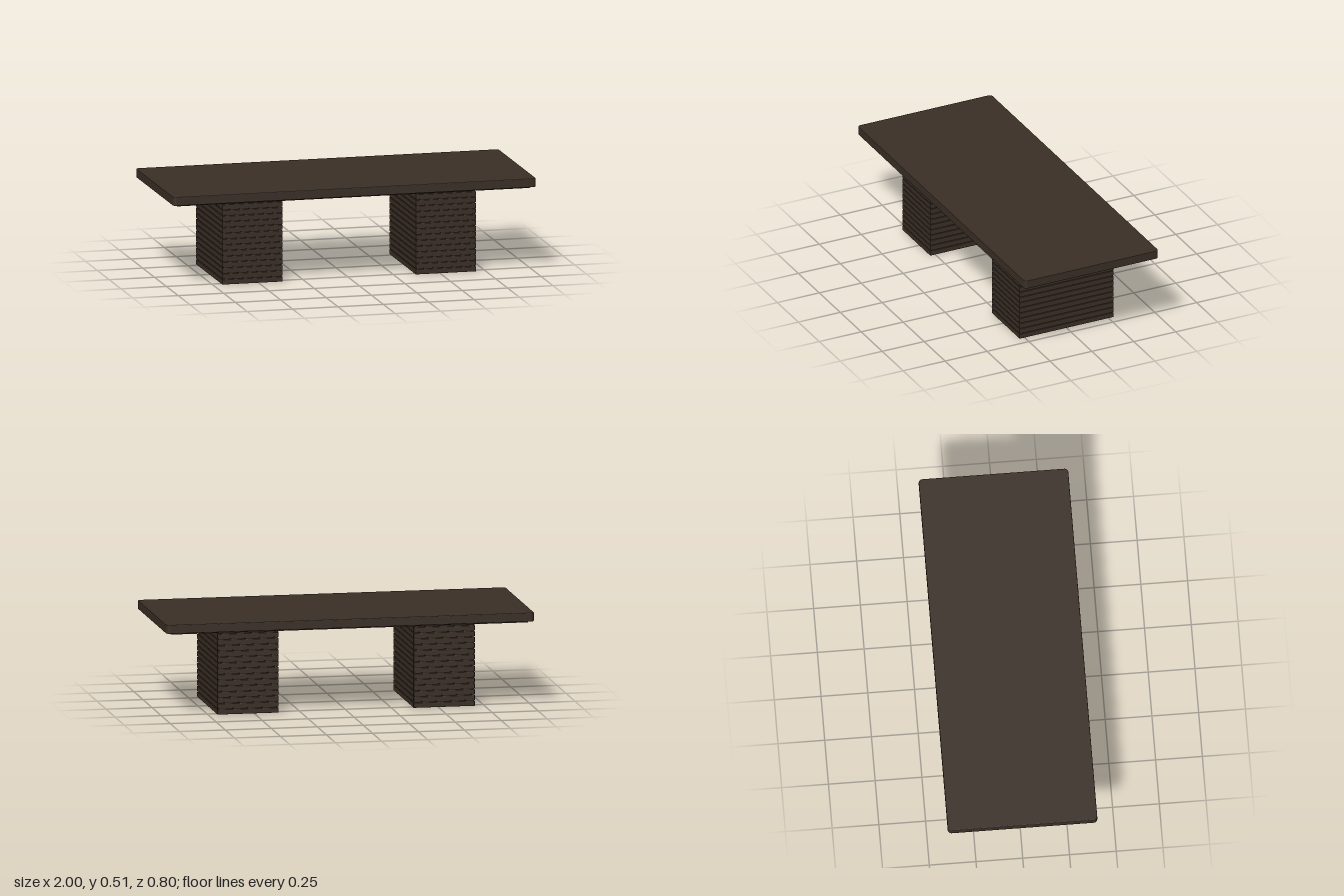
import * as THREE from 'three';
import { RoundedBoxGeometry } from 'three/addons/geometries/RoundedBoxGeometry.js';

const darkWood = new THREE.MeshStandardMaterial({ name: 'dark wood', color: 0x3a2f25 });
const grooveWood = new THREE.MeshStandardMaterial({ name: 'groove wood', color: 0x2c231b });

function addMesh(parent, name, geometry, material, x, y, z) {
  const mesh = new THREE.Mesh(geometry, material);
  mesh.name = name;
  mesh.position.set(x, y, z);
  parent.add(mesh);
  return mesh;
}

// Flat slab with rounded plan corners and a fine bevel, its base at y = 0
function slabGeometry(width, depth, height, radius, bevel) {
  const w = width / 2 - bevel, d = depth / 2 - bevel, r = radius - bevel;
  const shape = new THREE.Shape();
  shape.absarc(w - r, d - r, r, 0, Math.PI / 2);
  shape.absarc(-w + r, d - r, r, Math.PI / 2, Math.PI);
  shape.absarc(-w + r, -d + r, r, Math.PI, Math.PI * 1.5);
  shape.absarc(w - r, -d + r, r, Math.PI * 1.5, Math.PI * 2);
  const geometry = new THREE.ExtrudeGeometry(shape, {
    depth: height - 2 * bevel, bevelThickness: bevel, bevelSize: bevel, bevelSegments: 2, curveSegments: 6,
  });
  geometry.translate(0, 0, bevel);
  geometry.rotateX(-Math.PI / 2);
  return geometry;
}

// Pedestal of stacked slats separated by narrow recessed grooves
function createPedestal(name) {
  const width = 0.332, depth = 0.56, slat = 0.0265, pitch = 0.0314, count = 15, inset = 0.006;
  const pedestal = new THREE.Group();
  pedestal.name = name;
  const coreHeight = 0.455;
  addMesh(pedestal, 'pedestalCore',
    new THREE.BoxGeometry(width - 2 * inset, coreHeight, depth - 2 * inset),
    grooveWood, 0, 0.004 + coreHeight / 2, 0);
  const slatGeometry = new RoundedBoxGeometry(width, slat, depth, 1, 0.001);
  for (let i = 0; i < count; i++) {
    addMesh(pedestal, 'pedestalSlat', slatGeometry, darkWood, 0, i * pitch + slat / 2, 0);
  }
  return pedestal;
}

export function createModel() {
  const table = new THREE.Group();
  table.name = 'diningTable';

  // Top with a thin recessed panel beneath it
  addMesh(table, 'tableTop', slabGeometry(2, 0.8, 0.047, 0.02, 0.003), darkWood, 0, 0.467, 0);
  addMesh(table, 'underPanel', new THREE.BoxGeometry(1.94, 0.011, 0.74), darkWood, 0, 0.4635, 0);

  // Matching pair of pedestals
  for (const side of [-1, 1]) {
    const pedestal = createPedestal(side > 0 ? 'leftPedestal' : 'rightPedestal');
    pedestal.position.x = side * 0.533;
    table.add(pedestal);
  }
  return table;
}
